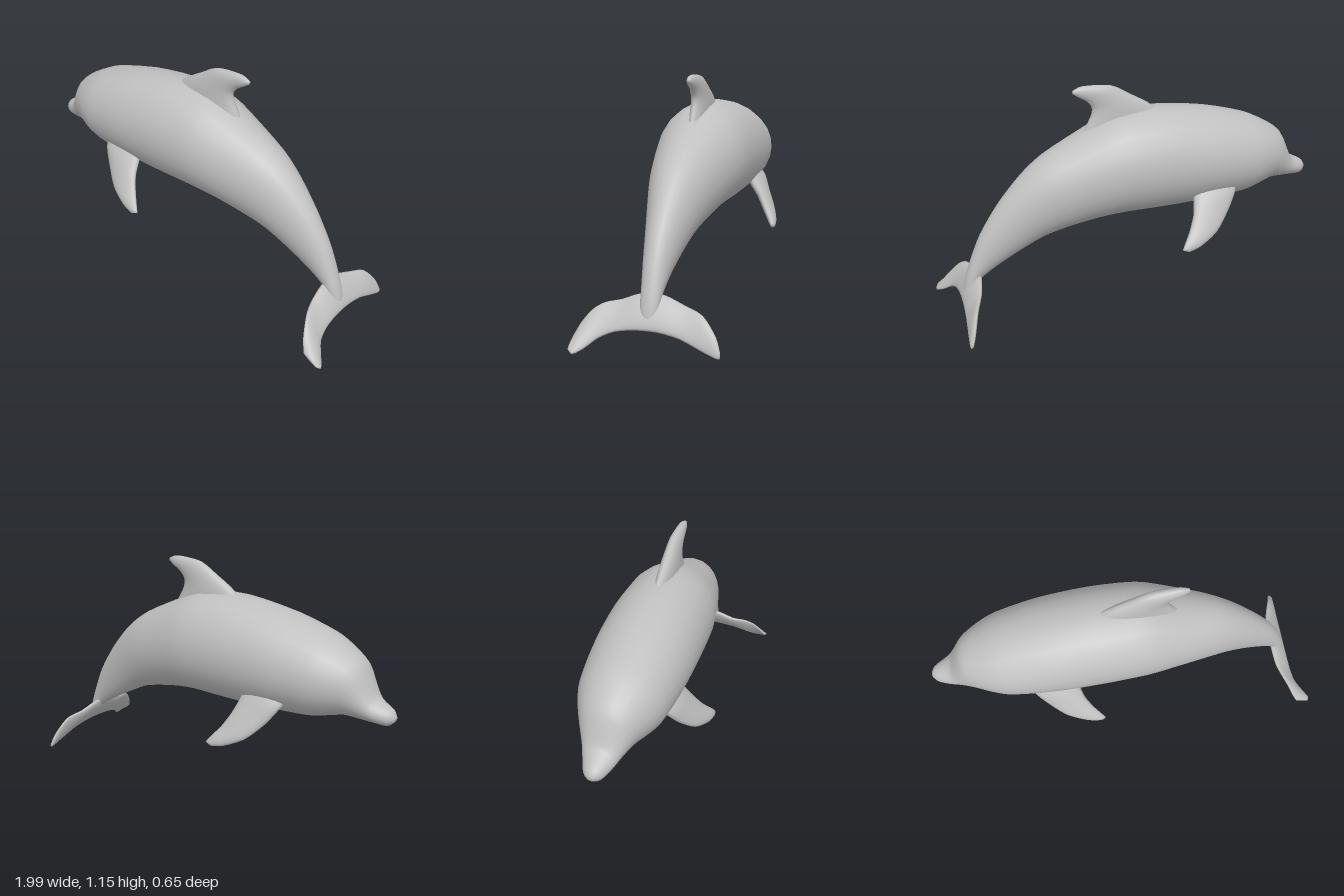
import * as THREE from 'three';

const grey = new THREE.MeshStandardMaterial({ color: 0xc0c0c0 });
grey.name = 'dolphin grey';

const V = (x, y, z = 0) => new THREE.Vector3(x, y, z);

// Smooth skin over elliptical sections. Each section is [edge A, edge B, half-thickness vector].
function loft(name, sections, sides = 16, steps = 3) {
  const [curveA, curveB, curveW] = [0, 1, 2].map(k =>
    new THREE.CatmullRomCurve3(sections.map(s => s[k]), false, 'catmullrom', 0.4));
  const count = (sections.length - 1) * steps;
  const pos = [], index = [];
  const centre = t => curveA.getPoint(t).add(curveB.getPoint(t)).multiplyScalar(0.5);

  // Keep the skin facing outward whichever way the sections run
  const along = centre(1).sub(centre(0));
  const first = sections[0];
  const flip = first[0].clone().sub(first[1]).cross(first[2]).dot(along) < 0 ? -1 : 1;

  for (let i = 0; i <= count; i++) {
    const t = i / count, c = centre(t);
    const half = curveA.getPoint(t).sub(c), w = curveW.getPoint(t);
    for (let j = 0; j < sides; j++) {
      const a = (j / sides) * Math.PI * 2;
      const p = c.clone().addScaledVector(half, Math.cos(a)).addScaledVector(w, flip * Math.sin(a));
      pos.push(p.x, p.y, p.z);
    }
  }
  const start = (count + 1) * sides, end = start + 1;
  pos.push(...centre(0).toArray(), ...centre(1).toArray());
  for (let j = 0; j < sides; j++) {
    const k = (j + 1) % sides;
    for (let i = 0; i < count; i++) {
      const r = i * sides, n = r + sides;
      index.push(r + j, r + k, n + j, r + k, n + k, n + j);
    }
    index.push(start, k, j, end, count * sides + j, count * sides + k);
  }
  const geo = new THREE.BufferGeometry();
  geo.setAttribute('position', new THREE.Float32BufferAttribute(pos, 3));
  geo.setIndex(index);
  geo.computeVertexNormals();
  const mesh = new THREE.Mesh(geo, grey);
  mesh.name = name;
  return mesh;
}

// Beak, forehead, arched trunk and tail stock: top x, y, bottom x, y, half width
function makeBody() {
  const rows = [
    [-0.998, 0.575, -0.995, 0.55, 0.016],
    [-0.975, 0.605, -0.965, 0.526, 0.045],
    [-0.9, 0.645, -0.91, 0.53, 0.075],
    [-0.868, 0.705, -0.84, 0.533, 0.098],
    [-0.82, 0.8, -0.76, 0.535, 0.135],
    [-0.73, 0.862, -0.68, 0.515, 0.178],
    [-0.63, 0.91, -0.59, 0.493, 0.21],
    [-0.41, 0.97, -0.4, 0.48, 0.235],
    [-0.15, 1.005, -0.18, 0.472, 0.24],
    [0.08, 0.99, 0.06, 0.472, 0.23],
    [0.25, 0.92, 0.2, 0.46, 0.2],
    [0.45, 0.82, 0.34, 0.432, 0.16],
    [0.57, 0.725, 0.47, 0.395, 0.125],
    [0.69, 0.59, 0.6, 0.33, 0.09],
    [0.785, 0.445, 0.71, 0.268, 0.065],
    [0.84, 0.32, 0.785, 0.22, 0.05],
    [0.878, 0.21, 0.83, 0.18, 0.042],
    [0.895, 0.13, 0.87, 0.125, 0.025],
  ];
  return loft('body', rows.map(([tx, ty, bx, by, w]) => [V(tx, ty), V(bx, by), V(0, 0, w)]), 24);
}

// Swept-back fin: leading x, y, trailing x, y, half thickness
function makeDorsalFin() {
  const rows = [
    [-0.18, 0.96, 0.27, 0.88, 0.045],
    [-0.09, 1.03, 0.21, 0.985, 0.041],
    [0.0, 1.083, 0.2, 1.035, 0.036],
    [0.1, 1.138, 0.225, 1.07, 0.03],
    [0.24, 1.149, 0.265, 1.095, 0.02],
    [0.292, 1.132, 0.294, 1.115, 0.008],
  ];
  return loft('dorsalFin', rows.map(([ax, ay, bx, by, w]) => [V(ax, ay), V(bx, by), V(0, 0, w)]));
}

// Paddle flipper; side is +1 or -1 along z
function makeFlipper(side) {
  const rows = [
    [-0.54, 0.62, 0.12, -0.29, 0.63, 0.13, 0.04],
    [-0.5, 0.555, 0.185, -0.27, 0.545, 0.185, 0.036],
    [-0.445, 0.475, 0.225, -0.255, 0.49, 0.225, 0.031],
    [-0.365, 0.395, 0.275, -0.222, 0.425, 0.262, 0.026],
    [-0.265, 0.347, 0.308, -0.185, 0.375, 0.295, 0.02],
    [-0.2, 0.332, 0.318, -0.164, 0.345, 0.312, 0.01],
  ];
  return loft(side > 0 ? 'leftFlipper' : 'rightFlipper', rows.map(([ax, ay, az, bx, by, bz, w]) =>
    [V(ax, ay, az * side), V(bx, by, bz * side), V(0, 0.56 * w, 0.83 * w * side)]));
}

// Tail flukes from tip to tip: z, leading x, y, trailing x, y, half thickness
function makeFlukes() {
  const rows = [
    [-0.328, 0.908, 0.045, 0.92, 0.022, 0.007],
    [-0.305, 0.89, 0.105, 0.92, 0.025, 0.012],
    [-0.24, 0.86, 0.182, 0.915, 0.05, 0.015],
    [-0.15, 0.825, 0.208, 0.907, 0.086, 0.018],
    [-0.05, 0.805, 0.24, 0.902, 0.103, 0.022],
    [0.05, 0.805, 0.24, 0.902, 0.103, 0.022],
    [0.14, 0.815, 0.208, 0.908, 0.09, 0.018],
    [0.21, 0.838, 0.195, 0.925, 0.06, 0.016],
    [0.26, 0.862, 0.165, 0.965, 0.022, 0.014],
    [0.3, 0.885, 0.115, 0.995, 0.004, 0.012],
    [0.325, 0.91, 0.065, 0.985, 0.02, 0.007],
  ];
  return loft('tailFlukes', rows.map(([z, ax, ay, bx, by, w]) =>
    [V(ax, ay, z), V(bx, by, z), V(0.8 * w, 0.6 * w, 0)]));
}

export function createModel() {
  const dolphin = new THREE.Group();
  dolphin.name = 'dolphin';
  dolphin.add(makeBody(), makeDorsalFin(), makeFlipper(1), makeFlipper(-1), makeFlukes());
  return dolphin;
}
